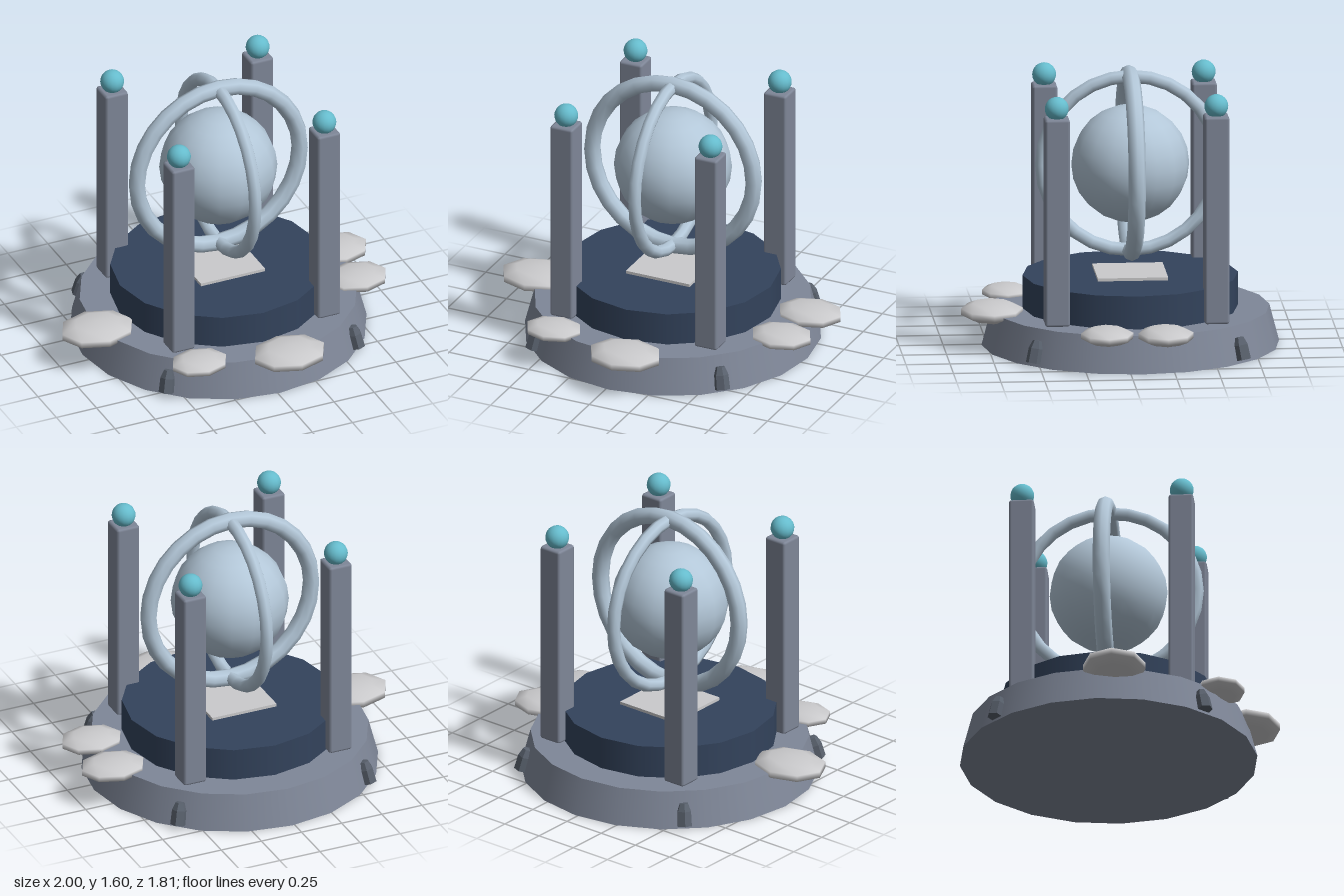
import * as THREE from 'three';
import { RoundedBoxGeometry } from 'three/addons/geometries/RoundedBoxGeometry.js';

function material(name, color) {
  const m = new THREE.MeshStandardMaterial({ color });
  m.name = name;
  return m;
}

export function createModel() {
  const stone = material('stone grey', 0x7f8798);
  const navy = material('navy', 0x33435c);
  const steel = material('pale steel blue', 0xb3c7d8);
  const teal = material('teal', 0x66bccd);
  const cloudGrey = material('light grey', 0xcacacc);
  const dark = material('dark grey', 0x59616d);

  const model = new THREE.Group();
  model.name = 'orbShrine';

  // Everything but the clouds is centred on this axis
  const shrine = new THREE.Group();
  shrine.name = 'shrine';
  shrine.position.set(0.016, 0, -0.062);
  model.add(shrine);

  function add(parent, name, geometry, mat, x = 0, y = 0, z = 0) {
    const mesh = new THREE.Mesh(geometry, mat);
    mesh.name = name;
    mesh.position.set(x, y, z);
    parent.add(mesh);
    return mesh;
  }

  // Stepped base
  add(shrine, 'base', new THREE.CylinderGeometry(0.79, 0.845, 0.21, 20), stone, 0, 0.105, 0);
  add(shrine, 'drum', new THREE.CylinderGeometry(0.612, 0.612, 0.2, 16), navy, 0, 0.3, 0);
  add(shrine, 'plate', new THREE.BoxGeometry(0.4, 0.02, 0.4), cloudGrey, 0, 0.407, 0);

  // Floating orb and its two crossed rings
  const orbY = 1.04;
  add(shrine, 'orb', new THREE.SphereGeometry(0.335, 16, 12), steel, 0, orbY, 0);
  add(shrine, 'wideRing', new THREE.TorusGeometry(0.507, 0.049, 8, 28), steel, 0, orbY, 0);
  const crossRing = add(shrine, 'crossRing', new THREE.TorusGeometry(0.503, 0.038, 8, 28), steel, 0, orbY, 0);
  crossRing.rotation.y = Math.PI / 2;

  // Corner pillars with beads, and knobs leaning on the base slope
  const pillarGeo = new RoundedBoxGeometry(0.142, 1.2, 0.142, 1, 0.015);
  const beadGeo = new THREE.SphereGeometry(0.068, 16, 12);
  const knobProfile = [[0, 0], [0.046, 0], [0.043, 0.085], [0.026, 0.13], [0, 0.132]]
    .map(([r, y]) => new THREE.Vector2(r, y));
  const knobGeo = new THREE.LatheGeometry(knobProfile, 6).toNonIndexed();
  knobGeo.computeVertexNormals();
  for (const sx of [-1, 1]) {
    for (const sz of [-1, 1]) {
      const side = (sz > 0 ? 'front' : 'back') + (sx > 0 ? 'Left' : 'Right');
      add(shrine, side + 'Pillar', pillarGeo, stone, sx * 0.453, 0.81, sz * 0.453);
      add(shrine, side + 'Bead', beadGeo, teal, sx * 0.453, 1.462, sz * 0.453);
      const mount = new THREE.Group();
      mount.name = side + 'KnobMount';
      mount.rotation.y = Math.atan2(sx, sz);
      shrine.add(mount);
      add(mount, side + 'Knob', knobGeo, dark, 0, 0.02, 0.842).rotation.x = -0.256;
    }
  }

  // Flattened clouds around the rim: x, z, radius
  const clouds = [
    [-0.784, 0.037, 0.228],
    [0.81, -0.203, 0.2],
    [0.79, 0.13, 0.19],
    [-0.41, 0.61, 0.174],
    [0.096, 0.73, 0.225],
  ];
  clouds.forEach(([x, z, r], i) => {
    add(model, 'cloud' + (i + 1), new THREE.SphereGeometry(r, 8, 5), cloudGrey, x, 0.212, z)
      .scale.set(1, 0.26, 0.82);
  });

  return model;
}
